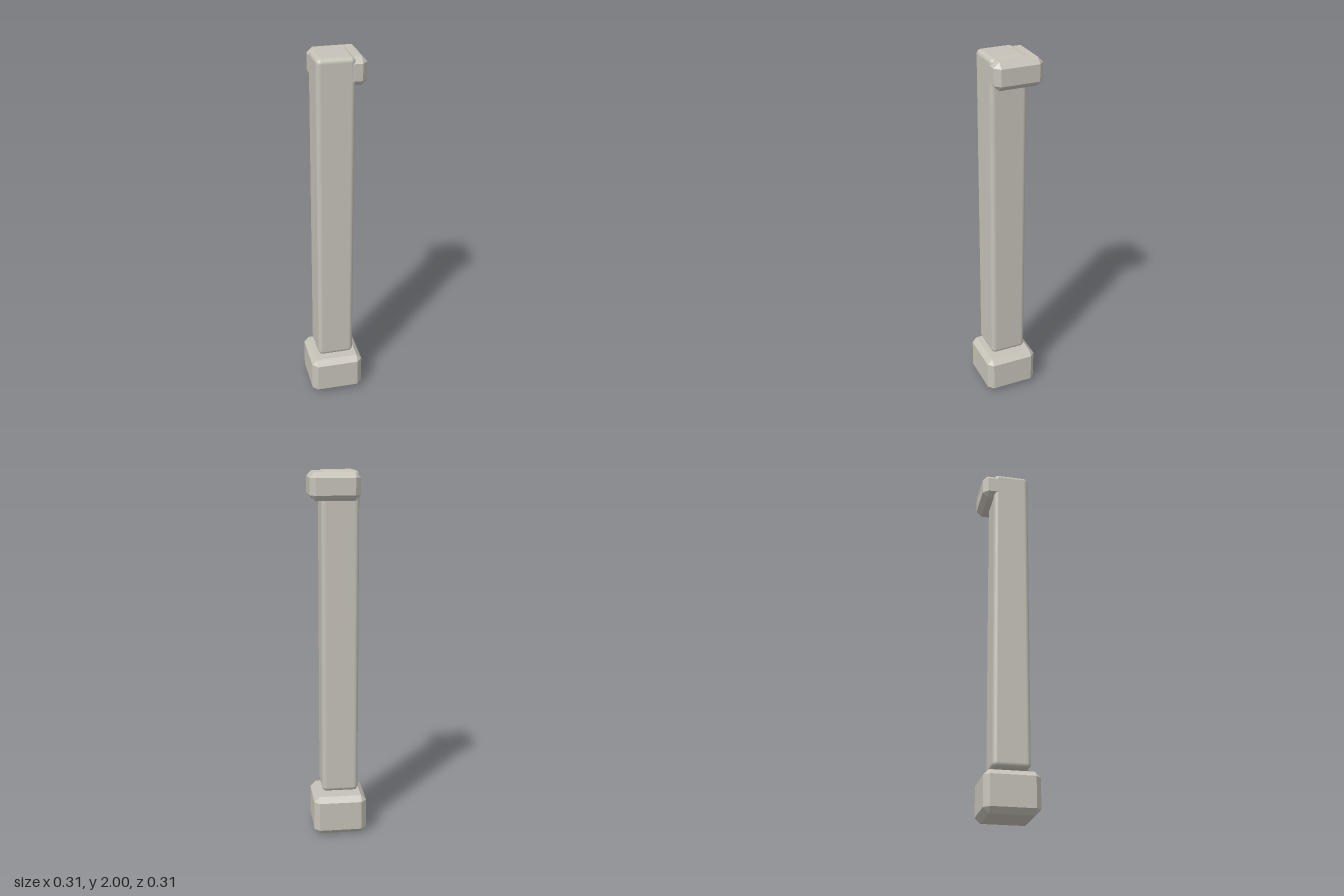
import * as THREE from 'three';
import { RoundedBoxGeometry } from 'three/addons/geometries/RoundedBoxGeometry.js';
import { ConvexGeometry } from 'three/addons/geometries/ConvexGeometry.js';

// Box with every edge cut at 45 degrees
function chamferedBox(w, h, d, c) {
  const half = [w / 2, h / 2, d / 2];
  const points = [];
  for (const sx of [-1, 1]) for (const sy of [-1, 1]) for (const sz of [-1, 1]) {
    for (let axis = 0; axis < 3; axis++) {
      const p = half.map((v, i) => (i === axis ? v : v - c));
      points.push(new THREE.Vector3(p[0] * sx, p[1] * sy, p[2] * sz));
    }
  }
  return new ConvexGeometry(points);
}

export function createModel() {
  const model = new THREE.Group();
  model.name = 'pillar';

  const stone = new THREE.MeshStandardMaterial({ color: 0xc6c2b8 });
  stone.name = 'pale stone';

  const add = (name, geometry, x, y, z) => {
    const mesh = new THREE.Mesh(geometry, stone);
    mesh.name = name;
    mesh.position.set(x, y, z);
    model.add(mesh);
  };

  // Base block
  add('base', chamferedBox(0.292, 0.22, 0.292, 0.029), -0.007, 0.11, 0.006);

  // Tall shaft with softly rounded edges, floating just above the base
  add('shaft', new RoundedBoxGeometry(0.2, 1.76, 0.2, 3, 0.025), -0.01, 1.12, 0.01);

  // Cap, overhanging towards the left and back
  add('cap', chamferedBox(0.263, 0.146, 0.263, 0.029), 0.0215, 1.922, -0.0225);

  return model;
}
